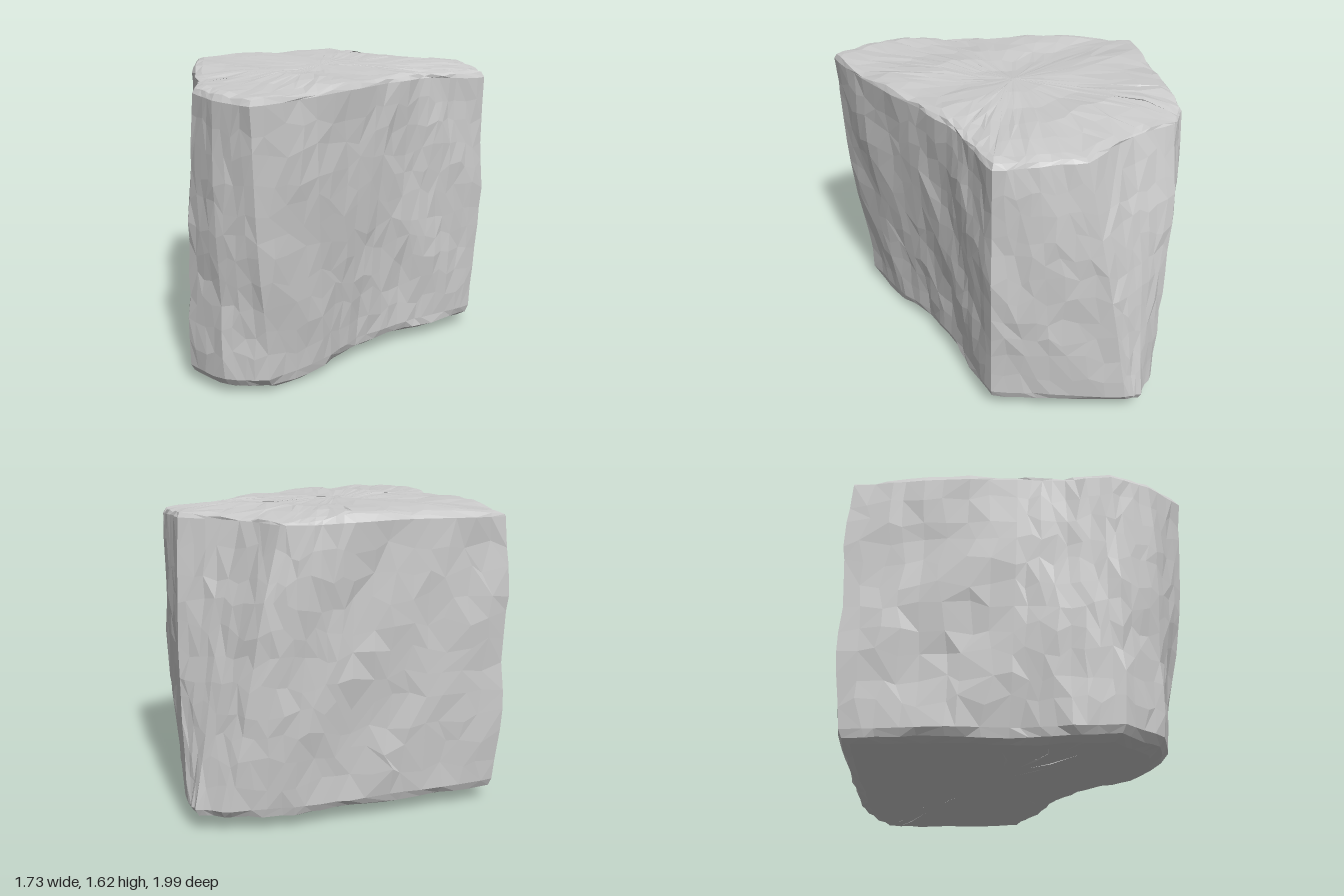
import * as THREE from 'three';

// Outline corners, clockwise from above: [top x, top z, bottom x, bottom z]
const CORNERS = [
  [-0.83, -0.81, -0.83, -0.78], [-0.4, -0.88, -0.4, -0.84], [0, -0.95, 0, -0.88],
  [0.2, -0.99, 0.3, -0.92], [0.36, -0.95, 0.62, -0.9], [0.52, -0.72, 0.79, -0.84],
  [0.8, -0.48, 0.81, -0.76], [0.84, -0.25, 0.81, -0.35], [0.84, -0.03, 0.8, -0.02],
  [0.62, 0.1, 0.55, 0.12], [0.42, 0.22, 0.3, 0.24], [0.15, 0.46, 0.05, 0.4],
  [-0.2, 0.78, -0.15, 0.6], [-0.53, 0.99, -0.45, 0.81], [-0.7, 0.8, -0.68, 0.79],
  [-0.8, 0.6, -0.86, 0.6], [-0.78, 0.35, -0.86, 0.35], [-0.82, 0.1, -0.81, 0.05],
  [-0.82, -0.4, -0.81, -0.4],
];
const STEPS = 4; // subdivisions between corners
const CENTRE = [-0.1, -0.1];

// Rings from the underside centre, up the sides, to the top centre: [scale, height fraction]
const RINGS = [[0.001, 0], [0.2, 0], [0.4, 0], [0.6, 0], [0.78, 0], [0.92, 0], [0.98, 0.012]];
for (let i = 0; i <= 11; i++) RINGS.push([1, 0.04 + (0.94 * i) / 11]);
RINGS.push([0.985, 0.995], [0.93, 1], [0.78, 1], [0.6, 1], [0.4, 1], [0.2, 1], [0.001, 1]);

const hill = (x, z, cx, cz, r) => Math.exp(-((x - cx) ** 2 + (z - cz) ** 2) / (r * r));
const bottomY = (x, z) => 0.065 - 0.062 * Math.min(1, 1.3 * hill(x, z, -0.5, 0.5, 0.38));
const topY = (x, z) =>
  1.585 + 0.03 * hill(x, z, -0.1, -0.5, 0.5) - 0.02 * hill(x, z, -0.5, 0.95, 0.4)
  - 0.03 * hill(x, z, 0.8, 0, 0.25);

// Smooth bumps plus a seeded jitter for uneven facets
const bumps = (x, y, z) =>
  0.5 * Math.sin(4.1 * x + 6.3 * y + 1.7) * Math.cos(5.2 * z - 3.1 * y)
  + 0.5 * Math.sin(9.7 * x - 7.9 * z + 8.3 * y);
let seed = 7;
const jitter = () => {
  seed = (seed * 16807) % 2147483647;
  return seed / 2147483647 - 0.5;
};

function stoneGeometry() {
  const count = CORNERS.length * STEPS;
  const positions = [];
  const indices = [];
  for (const [scale, t] of RINGS) {
    for (let i = 0; i < count; i++) {
      const k = Math.floor(i / STEPS);
      const onCorner = i % STEPS === 0;
      const side = scale === 1;
      const f = (i % STEPS) / STEPS + (onCorner ? 0 : 0.15 * jitter());
      const a = CORNERS[k];
      const b = CORNERS[(k + 1) % CORNERS.length];
      const [tx, tz, bx, bz] = a.map((v, j) => v + (b[j] - v) * f);
      const h = side && t > 0.05 && t < 0.97 ? t + 0.045 * jitter() : t;
      // Slight swelling of the sides at mid height
      const swell = 1 + 0.025 * Math.sin(Math.PI * h);
      let x = (bx + (tx - bx) * h - CENTRE[0]) * scale * swell + CENTRE[0];
      let z = (bz + (tz - bz) * h - CENTRE[1]) * scale * swell + CENTRE[1];
      const low = bottomY(x, z);
      let y = low + (topY(x, z) - low) * h;
      // Push the surface in and out, along the sides or the caps
      const n = 0.016 * bumps(x, y, z) + 0.014 * jitter() * scale;
      if (side) {
        const r = Math.hypot(x - CENTRE[0], z - CENTRE[1]);
        x += (n * (x - CENTRE[0])) / r;
        z += (n * (z - CENTRE[1])) / r;
      } else {
        y += n * (t > 0.5 ? 1 : 0.6);
        x += 0.06 * jitter() * scale * (scale < 0.9 ? 1 : 0.2);
        z += 0.06 * jitter() * scale * (scale < 0.9 ? 1 : 0.2);
      }
      positions.push(x, Math.max(0, y), z);
    }
  }
  for (let r = 0; r < RINGS.length - 1; r++) {
    for (let i = 0; i < count; i++) {
      const a = r * count + i;
      const b = r * count + ((i + 1) % count);
      const c = a + count;
      const d = b + count;
      // Alternate the diagonals irregularly
      if (jitter() > 0) indices.push(a, c, b, b, c, d);
      else indices.push(a, c, d, a, d, b);
    }
  }
  const geometry = new THREE.BufferGeometry();
  geometry.setAttribute('position', new THREE.Float32BufferAttribute(positions, 3));
  geometry.setIndex(indices);
  geometry.computeVertexNormals();
  return geometry;
}

export function createModel() {
  const group = new THREE.Group();
  group.name = 'rock';
  const material = new THREE.MeshStandardMaterial({ color: 0xcccccc, flatShading: true });
  const stone = new THREE.Mesh(stoneGeometry(), material);
  stone.name = 'stoneBlock';
  group.add(stone);
  return group;
}
